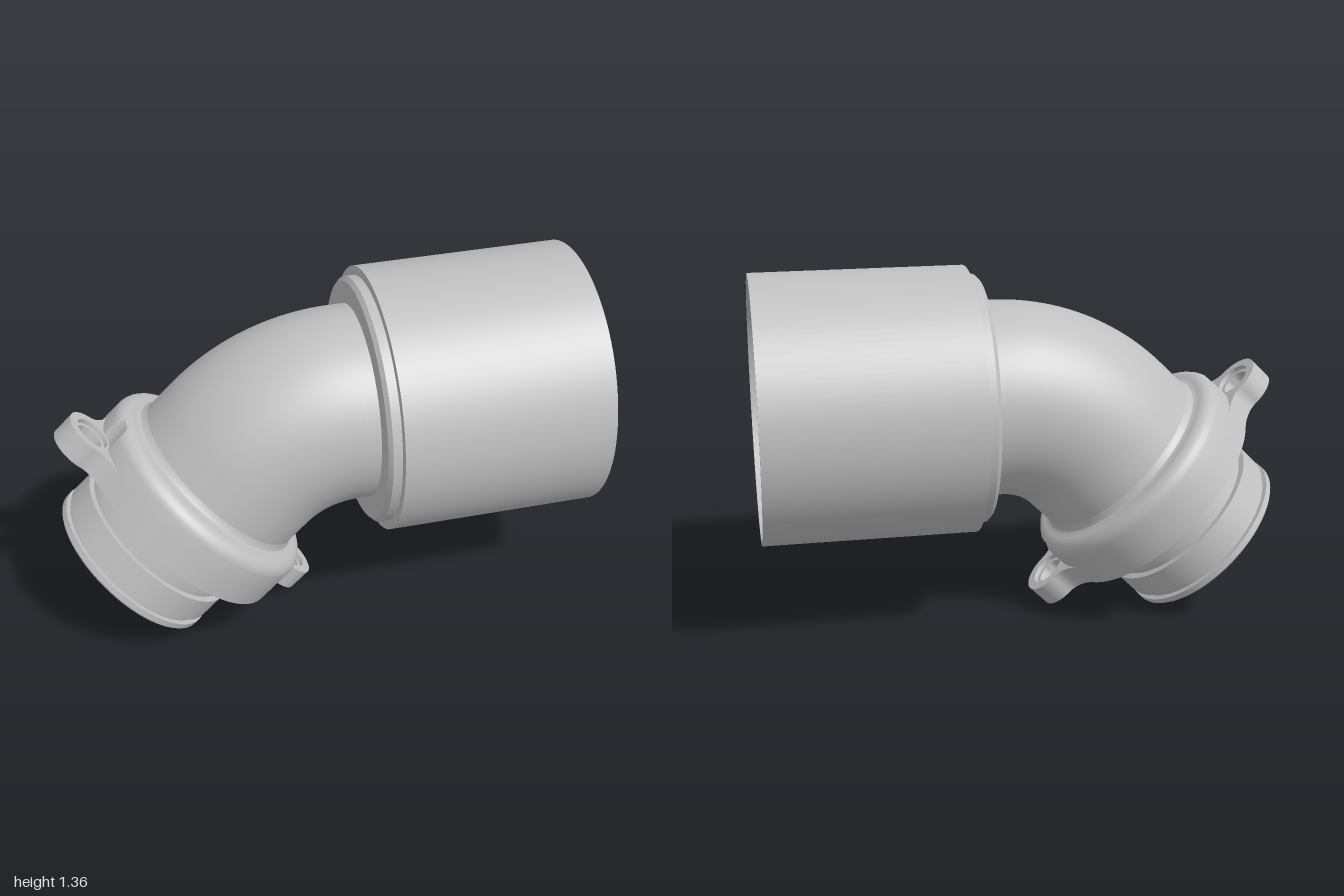
import * as THREE from 'three';
import { toCreasedNormals } from 'three/addons/utils/BufferGeometryUtils.js';

const SEG = 128;
const AXIS_Y = 0.865;            // height of the horizontal pipe axis
const BEND = 0.55;               // elbow centreline radius
const END = new THREE.Vector2(-0.75, 0.25); // centre of the spout mouth
const BEND_X = END.x + (AXIS_Y - END.y) + BEND * Math.tan(Math.PI / 8);
const SPOUT_LEN = (BEND_X - BEND * Math.SQRT1_2 - END.x) * Math.SQRT2;

const crease = (g) => toCreasedNormals(g, 0.5);

// Surface of revolution about y from [radius, height] pairs
function lathe(points, segments = SEG) {
  return new THREE.LatheGeometry(points.map(([r, h]) => new THREE.Vector2(r, h)), segments);
}

// Turn a surface inside out
function flip(g) {
  const a = g.index.array;
  for (let i = 0; i < a.length; i += 3) [a[i], a[i + 1]] = [a[i + 1], a[i]];
  return g;
}

// Flange outline: a disc with two filleted ears, bored through
function flangeShape() {
  const s = new THREE.Shape();
  const phi = Math.asin(0.2 / 0.46);
  const x0 = 0.46 * Math.cos(phi);
  s.moveTo(x0, -0.2);
  for (const k of [1, -1]) {
    const a = k > 0 ? 0 : Math.PI;
    s.quadraticCurveTo(k * 0.46, -k * 0.105, k * 0.52, -k * 0.105);
    s.absarc(k * 0.52, 0, 0.105, a - Math.PI / 2, a + Math.PI / 2, false);
    s.quadraticCurveTo(k * 0.46, k * 0.105, k * x0, k * 0.2);
    s.absarc(0, 0, 0.46, a + phi, a + Math.PI - phi, false);
    s.holes.push(new THREE.Path().absarc(k * 0.52, 0, 0.07, 0, Math.PI * 2, true));
  }
  s.holes.push(new THREE.Path().absarc(0, 0, 0.345, 0, Math.PI * 2, true));
  return s;
}

// Rounded collar with a cylindrical bolt recess above each ear
function collarGeometry() {
  const profile = [[0.46, 0.378], [0.46, 0.44]];
  for (let i = 1; i <= 6; i++) {
    const t = (i / 6) * Math.PI / 2;
    profile.push([0.405 + 0.055 * Math.cos(t), 0.44 + 0.055 * Math.sin(t)]);
  }
  profile.push([0.392, 0.495], [0.38, 0.5], [0.373, 0.512], [0.369, 0.53]);
  const g = lathe(profile, 240);
  const p = g.attributes.position;
  for (let i = 0; i < p.count; i++) {
    const x = p.getX(i), z = p.getZ(i), r = Math.hypot(x, z);
    const sin = z / r, cos = Math.abs(x) / r;
    const d = 0.08 ** 2 - (0.52 * sin) ** 2;
    if (d <= 0) continue;
    const k = Math.min(r, 0.52 * cos - Math.sqrt(d)) / r;
    p.setX(i, x * k);
    p.setZ(i, z * k);
  }
  return g;
}

export function createModel() {
  const model = new THREE.Group();
  model.name = 'pipeElbow';
  const metal = new THREE.MeshStandardMaterial({ color: 0xc0c0c0 });
  metal.name = 'light grey';

  const add = (parent, name, geometry) => {
    const m = new THREE.Mesh(crease(geometry), metal);
    m.name = name;
    parent.add(m);
    return m;
  };

  // Wide sleeve with tapered groove around the inner pipe mouth
  const sleeve = add(model, 'sleeve', lathe([
    [0.37, BEND_X], [0.37, 0.15], [0.455, 0.15], [0.47, 0.165], [0.47, 0.2],
    [0.505, 0.2], [0.505, 1], [0.485, 1], [0.445, 0.62], [0.41, 0.62],
    [0.385, 0.96], [0.35, 0.96], [0.35, BEND_X],
  ]));
  sleeve.rotation.z = -Math.PI / 2;
  sleeve.position.y = AXIS_Y;

  // 45 degree bend: outer wall and bore
  const bend = (r) => new THREE.TorusGeometry(BEND, r, SEG, 40, Math.PI / 4);
  for (const [name, g] of [['elbowWall', bend(0.37)], ['elbowBore', flip(bend(0.35))]]) {
    const m = add(model, name, g);
    m.rotation.z = Math.PI / 2;
    m.position.set(BEND_X, AXIS_Y - BEND, 0);
  }

  // Everything on the slanted axis, measured up from the spout mouth
  const spout = new THREE.Group();
  spout.name = 'spoutAssembly';
  spout.position.set(END.x, END.y, 0);
  spout.rotation.z = -Math.PI / 4;
  model.add(spout);

  // Grooved spigot with narrowing bore
  add(spout, 'spout', lathe([
    [0.35, SPOUT_LEN], [0.35, 0.51], [0.342, 0.46], [0.325, 0.39], [0.313, 0.34], [0.31, 0.3],
    [0.31, 0], [0.345, 0], [0.353, 0.008], [0.353, 0.032], [0.333, 0.032], [0.333, 0.057],
    [0.35, 0.057], [0.35, 0.165], [0.325, 0.165], [0.325, 0.2], [0.35, 0.2], [0.35, 0.3],
    [0.37, 0.3], [0.37, SPOUT_LEN],
  ]));

  // Eared flange plate and collar
  const plate = new THREE.ExtrudeGeometry(flangeShape(), {
    depth: 0.094, bevelEnabled: false, curveSegments: 32,
  });
  plate.rotateX(-Math.PI / 2).translate(0, 0.286, 0);
  add(spout, 'flangePlate', plate);
  add(spout, 'collar', collarGeometry());

  // Stepped bushes in the bolt holes
  for (const x of [0.52, -0.52]) {
    const bush = add(spout, 'boltHoleStep', lathe([
      [0.055, 0.362], [0.055, 0.286], [0.07, 0.286], [0.07, 0.362], [0.055, 0.362],
    ], 40));
    bush.position.x = x;
  }
  return model;
}
